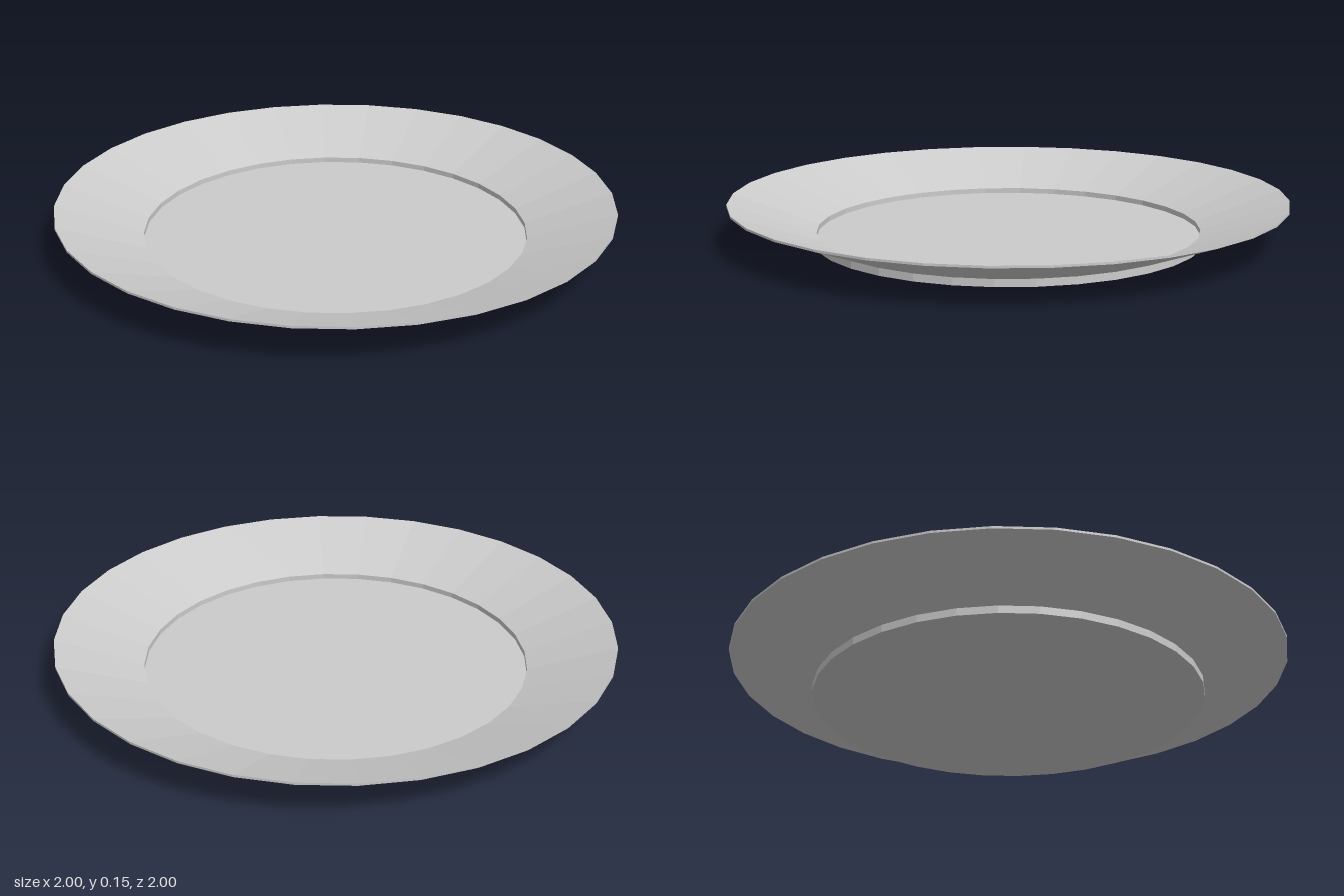
import * as THREE from 'three';

export function createModel() {
  const group = new THREE.Group();
  group.name = 'plate';

  // Closed cross-section: underside, foot, sloped rim, lip, inner step, floor
  const profile = [
    [0, 0], [0.7, 0], [0.7, 0.027],
    [1, 0.139], [1, 0.147],
    [0.687, 0.037], [0.687, 0.018], [0, 0.018],
  ].map(([r, y]) => new THREE.Vector2(r, y));

  const material = new THREE.MeshStandardMaterial({ color: 0xcccccc, flatShading: true });
  const dish = new THREE.Mesh(new THREE.LatheGeometry(profile, 32), material);
  dish.name = 'dish';
  group.add(dish);
  return group;
}
